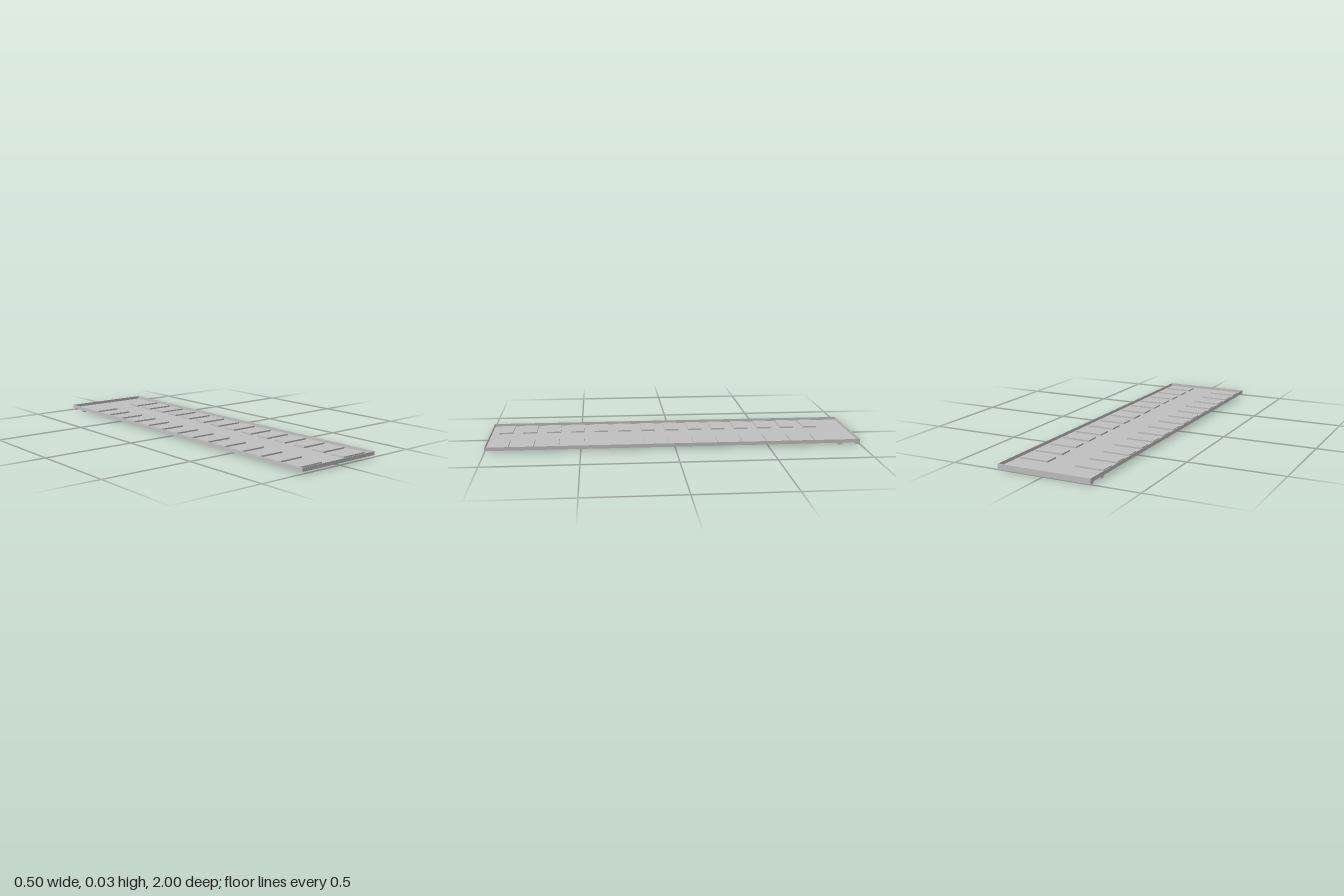
import * as THREE from 'three';

export function createModel() {
  const tray = new THREE.Group();
  tray.name = 'tray';
  const steel = new THREE.MeshStandardMaterial({ color: 0xc0c0c0 });
  steel.name = 'light grey steel';

  // Box given by its lower and upper corners
  function block(name, x0, x1, y0, y1, z0, z1) {
    const mesh = new THREE.Mesh(new THREE.BoxGeometry(x1 - x0, y1 - y0, z1 - z0), steel);
    mesh.position.set((x0 + x1) / 2, (y0 + y1) / 2, (z0 + z1) / 2);
    mesh.name = name;
    tray.add(mesh);
  }

  const W = 0.25, T = 0.003, BOTTOM = 0.01, FLOOR = 0.013, TOP = 0.029;

  // Floor sheet and thin upright rim
  block('floor', -W, W, BOTTOM, FLOOR, -1, 1);
  block('rightRim', -W, -W + T, FLOOR, TOP, -1, 1);
  block('leftRim', W - T, W, FLOOR, TOP, -1, 1);
  block('frontRim', -W + T, W - T, FLOOR, TOP, 1 - T, 1);
  block('backRim', -W + T, W - T, FLOOR, TOP, -1, -1 + T);

  // Two cross rails under the back end
  block('backRail', -W, W, 0, BOTTOM, -1, -0.975);
  block('innerRail', -W, W, 0, BOTTOM, -0.905, -0.88);

  // Paired raised tabs along the floor
  for (let i = 0; i < 14; i++) {
    const z = -0.84 + i * 0.1323;
    block('rightTab', -0.228, -0.075, FLOOR, 0.021, z, z + 0.077);
    block('leftTab', 0.075, 0.228, FLOOR, 0.021, z, z + 0.077);
  }
  return tray;
}
